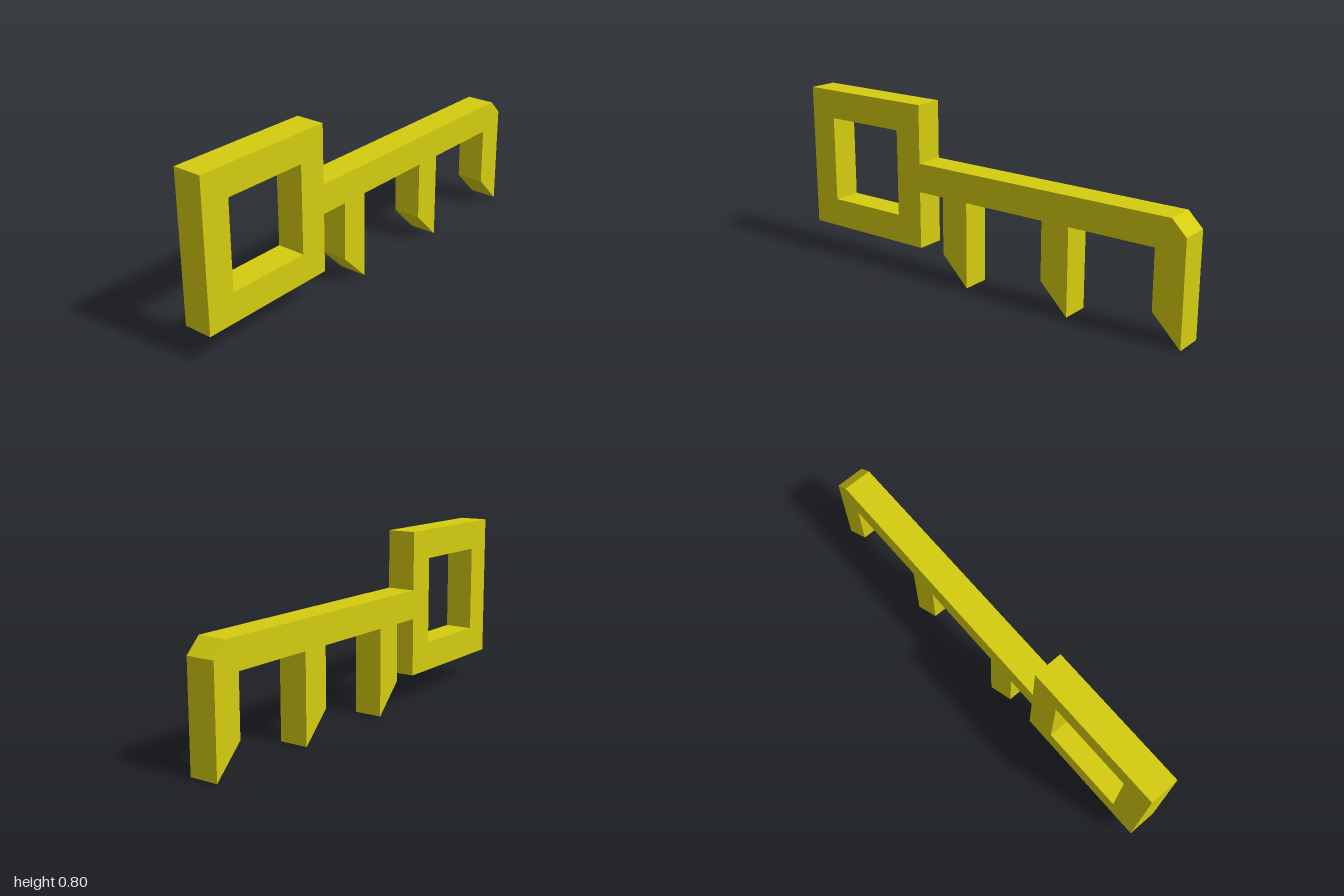
import * as THREE from 'three';

const U = 2 / 15; // bar thickness; the whole key sits on this grid

export function createModel() {
  const key = new THREE.Group();
  key.name = 'key';
  const material = new THREE.MeshStandardMaterial({ color: 0xd4cc10, flatShading: true });

  // Outline points are in grid units, measured from the lower left corner
  const toPoints = (pts) => pts.map(([x, y]) => new THREE.Vector2(x * U - 1, y * U));

  function addPlate(name, outline, hole) {
    const shape = new THREE.Shape(toPoints(outline));
    if (hole) shape.holes.push(new THREE.Path(toPoints(hole)));
    const geometry = new THREE.ExtrudeGeometry(shape, { depth: U, bevelEnabled: false });
    geometry.translate(0, 0, -U / 2);
    const mesh = new THREE.Mesh(geometry, material);
    mesh.name = name;
    key.add(mesh);
  }

  // Square grip with a square hole
  const square = (x, y, s) => [[x, y], [x + s, y], [x + s, y + s], [x, y + s]];
  addPlate('bow', square(0, 1, 5), square(1, 2, 3));

  // Shaft with three slanted teeth and a clipped top corner at the tip
  const blade = [[5, 4], [5, 3]];
  for (const x of [6, 10, 14]) {
    blade.push([x, 3], [x, 1], [x + 1, 0]);
    if (x < 14) blade.push([x + 1, 3]);
  }
  blade.push([15, 3.5], [14.5, 4]);
  addPlate('shaftAndTeeth', blade);

  return key;
}
